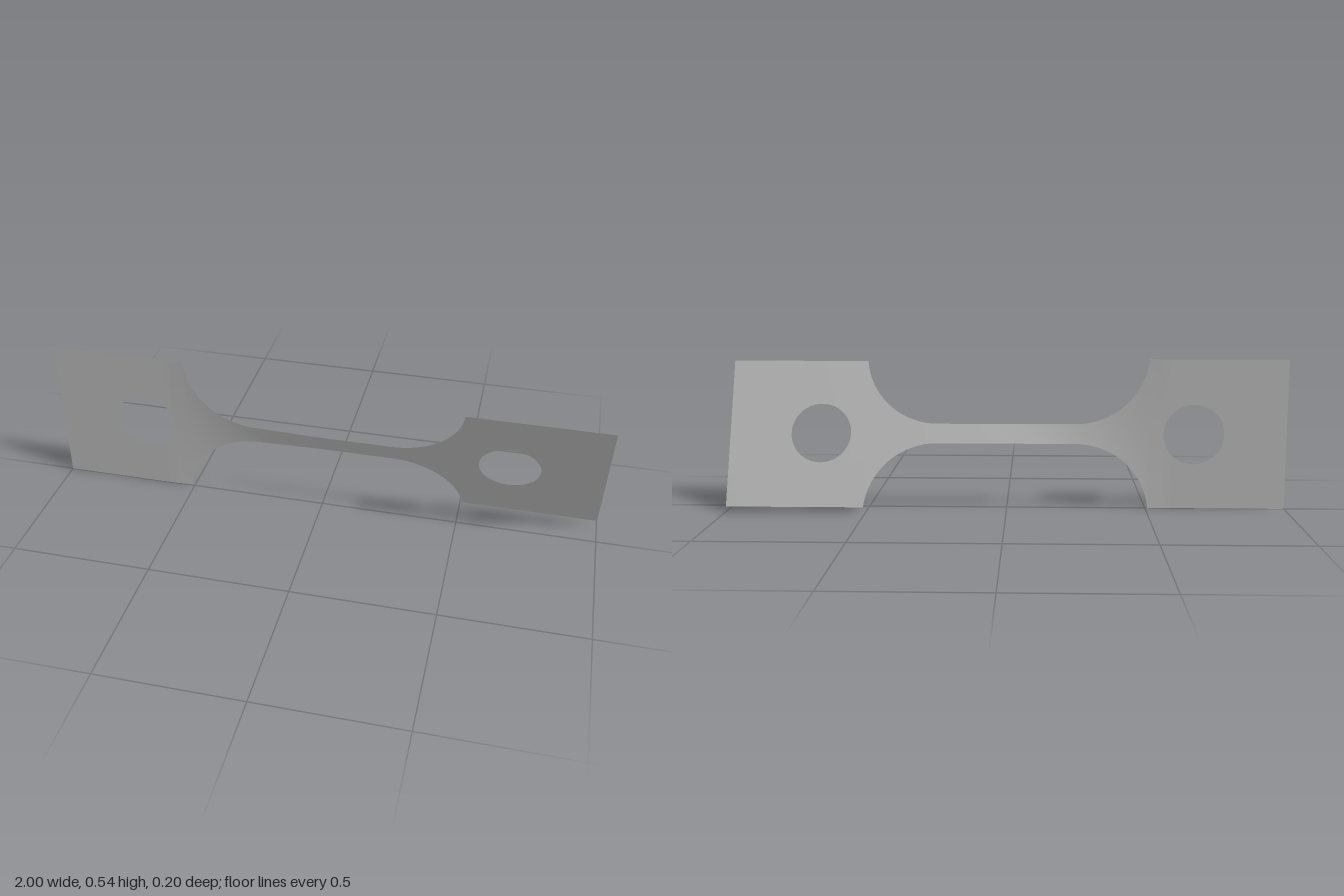
import * as THREE from 'three';
import { mergeVertices } from 'three/addons/utils/BufferGeometryUtils.js';

const HALF = 0.27;                                  // half height of the end tabs
const FILLET = { x: 0.25, y: 0.296, r: 0.26 };      // arc between tab and neck
const HOLE = { x: 0.67, r: 0.108 };
const TWIST = THREE.MathUtils.degToRad(21.5);
const ROWS = 5;

// Stations along one half, from the outer end to the middle: [x, inner edge, outer edge]
function halfStations() {
  const s = [];
  for (let i = 0; i < 6; i++) s.push([1 - (1 - HOLE.x - HOLE.r) * i / 6, 0, HALF]);
  for (let i = 0; i <= 32; i++) {
    const a = Math.PI * i / 32;
    s.push([HOLE.x + HOLE.r * Math.cos(a), i % 32 ? HOLE.r * Math.sin(a) : 0, HALF]);
  }
  const start = Math.asin((FILLET.y - HALF) / FILLET.r);
  for (let i = 0; i <= 28; i++) {
    const a = start + (Math.PI / 2 - start) * i / 28;
    s.push([FILLET.x + FILLET.r * Math.cos(a), 0, FILLET.y - FILLET.r * Math.sin(a)]);
  }
  for (let i = 1; i <= 16; i++) s.push([FILLET.x * (1 - i / 16), 0, FILLET.y - FILLET.r]);
  return s;
}

// Thin sheet whose right-hand tab is turned about the long axis
function twistedSheet() {
  const half = halfStations();
  const stations = [
    ...half.map(([x, a, b]) => [-x, a, b]),
    ...half.slice(0, -1).reverse(),
  ];
  const pos = [], index = [];
  for (const side of [1, -1]) {
    const base = pos.length / 3;
    stations.forEach(([x, inner, outer], c) => {
      const angle = TWIST * THREE.MathUtils.smoothstep(x, -0.6, 0.05);
      for (let r = 0; r <= ROWS; r++) {
        const v = side * (inner + (outer - inner) * r / ROWS);
        pos.push(x, HALF + v * Math.cos(angle), v * Math.sin(angle));
        if (c === 0 || r === 0) continue;
        const d = base + c * (ROWS + 1) + r, e = d - 1;
        const a = d - ROWS - 1, b = a - 1;
        if (side > 0) index.push(b, e, d, b, d, a);
        else index.push(b, d, e, b, a, d);
      }
    });
  }
  let geo = new THREE.BufferGeometry();
  geo.setAttribute('position', new THREE.Float32BufferAttribute(pos, 3));
  geo.setIndex(index);
  geo = mergeVertices(geo, 1e-5);
  geo.computeVertexNormals();
  return geo;
}

export function createModel() {
  const group = new THREE.Group();
  group.name = 'twistedLink';
  const grey = new THREE.MeshStandardMaterial({ color: 0xb4b4b4, side: THREE.DoubleSide });
  grey.name = 'grey metal';
  const plate = new THREE.Mesh(twistedSheet(), grey);
  plate.name = 'twistedPlate';
  group.add(plate);
  return group;
}
